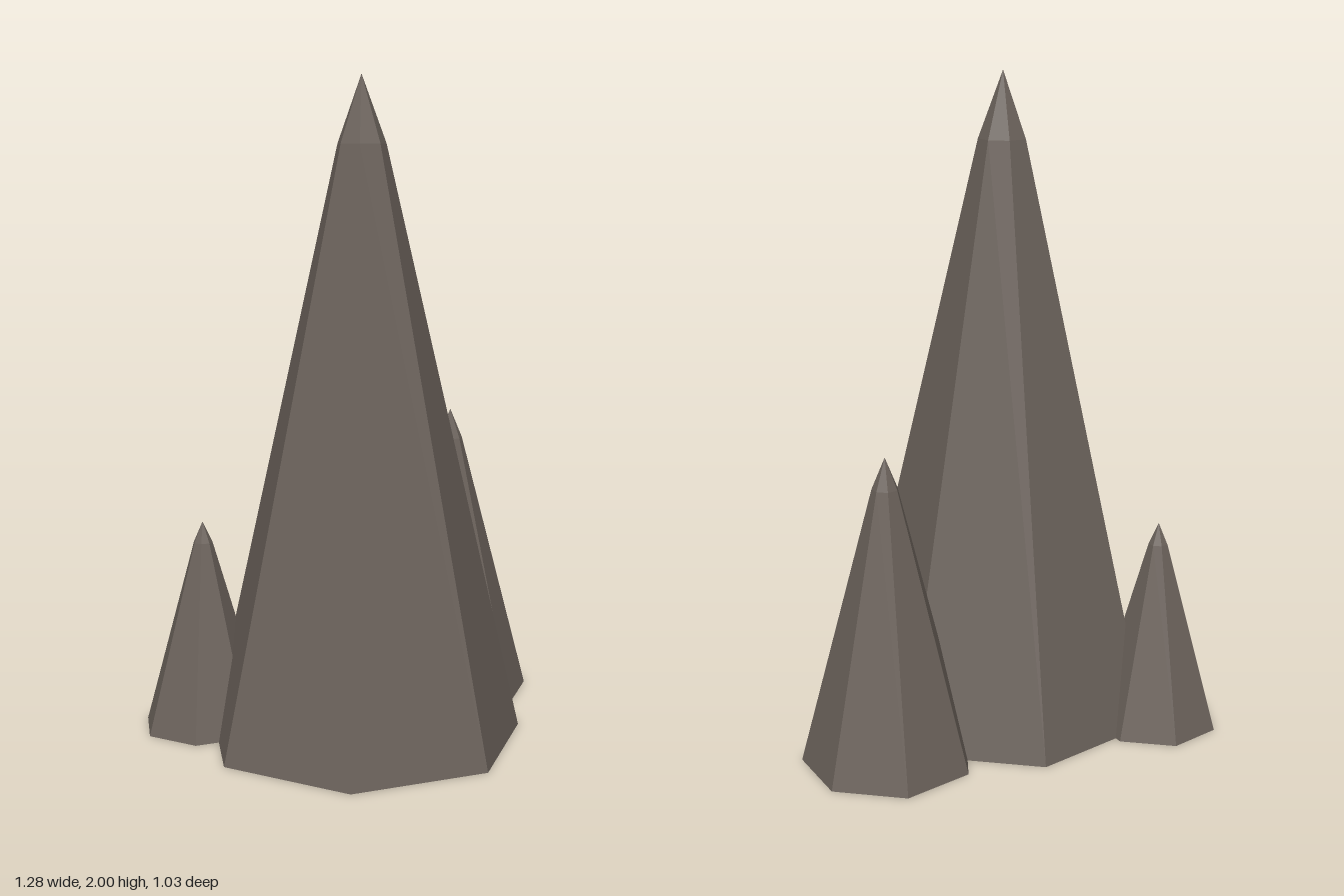
import * as THREE from 'three';

const stone = new THREE.MeshStandardMaterial({ color: 0x6b625b, flatShading: true });
stone.name = 'stone';

// Seven-sided spike: closed base, long taper, blunter tip; one corner points to -x
function spike(name, x, z, radius, height) {
  const profile = [
    new THREE.Vector2(0, 0),
    new THREE.Vector2(radius, 0),
    new THREE.Vector2(radius * 0.15, height * 0.9),
    new THREE.Vector2(0, height),
  ];
  const geometry = new THREE.LatheGeometry(profile, 7, -Math.PI / 2).toNonIndexed();
  geometry.computeVertexNormals();
  const mesh = new THREE.Mesh(geometry, stone);
  mesh.name = name;
  mesh.position.set(x, 0, z);
  return mesh;
}

export function createModel() {
  const group = new THREE.Group();
  group.name = 'rockSpikes';
  group.add(
    spike('mainSpike', -0.09, 0.03, 0.493, 2),
    spike('leftSpike', 0.405, -0.18, 0.26, 0.94),
    spike('rightSpike', -0.443, -0.324, 0.197, 0.65),
  );
  return group;
}
